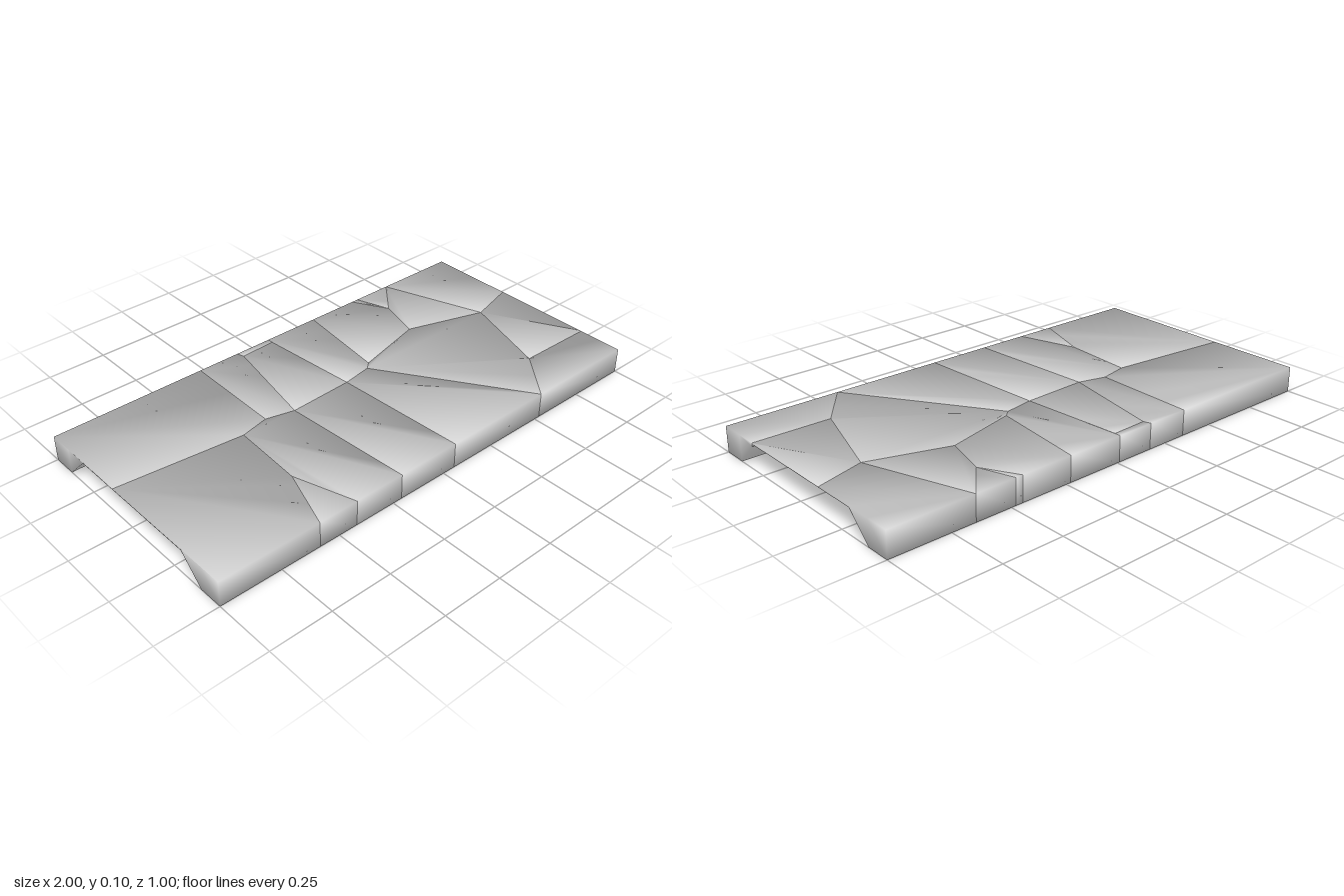
import * as THREE from 'three';

const TOP = 0.105;
const KINKS = [-0.4, -0.3, 0.3, 0.4];          // z lines where the underside bends
const BANDS = [-0.5, ...KINKS, 0.5];

// underside height: deep lips along both long edges, thin plate between
const underside = z => THREE.MathUtils.clamp(0.4 - Math.abs(z), 0, 0.1);

// shared junctions of the cracks, as [x, z]
const A = [-1, -0.105], B = [-0.48, -0.05], C = [-0.36, -0.075], D = [-0.245, -0.045];
const E = [0.025, -0.055], F = [0.15, -0.075], G = [0.18, -0.1], H = [0.48, -0.175];
const I = [0.8, -0.07], J = [1, -0.125], K = [0.53, -0.355], L = [-0.5, 0.25], M = [0.68, 0.305];
const N = [1, 0.31], P = [-0.16, -0.47], Q = [-0.01, -0.475];
const back = x => [x, -0.5], front = x => [x, 0.5];

// outlines of the broken pieces, clockwise seen from above
const BACK_PIECES = [
  [back(-1), back(-0.35), C, B, A],
  [back(-0.35), back(-0.17), P, D, C],
  [back(-0.17), back(-0.01), Q, P],
  [P, Q, E, D],
  [back(-0.01), back(0.23), G, F, E, Q],
  [back(0.23), back(0.45), K, H, G],
  [back(0.45), back(0.48), K],
  [back(0.48), back(0.65), K],
  [back(0.65), I, H, K],
  [back(0.65), back(1), J, I],
];
const FRONT_PIECES = [
  [A, B, L, front(-0.585), front(-1)],
  [L, front(-0.42), front(-0.585)],
  [B, C, D, front(-0.21), front(-0.42), L],
  [D, E, front(0.055), front(-0.21)],
  [E, F, front(0.525), front(0.055)],
  [F, G, H, I, M, front(0.525)],
  [I, J, N, M],
  [M, N, front(1), front(0.525)],
];

// add a point wherever an outline crosses a bend of the underside
function splitOutline(outline) {
  const out = [];
  outline.forEach((a, i) => {
    const b = outline[(i + 1) % outline.length];
    out.push(a);
    KINKS.map(z => [(z - a[1]) / (b[1] - a[1]), z])
      .filter(([t]) => t > 0.001 && t < 0.999)
      .sort((p, q) => p[0] - q[0])
      .forEach(([t, z]) => out.push([a[0] + (b[0] - a[0]) * t, z]));
  });
  return out;
}

// closed solid for one piece, with normals softened over its edges
function pieceGeometry(outline) {
  const pts = splitOutline(outline), n = pts.length;
  const position = [], normal = [], index = [];
  const wall = i => {
    const a = pts[(i + n) % n], b = pts[(i + 1) % n];
    return new THREE.Vector3(b[1] - a[1], 0, a[0] - b[0]).normalize();
  };
  for (const top of [true, false]) {
    pts.forEach(([x, z], i) => {
      position.push(x, top ? TOP : underside(z), z);
      const onSlope = Math.abs(z) > 0.299 && Math.abs(z) < 0.401;
      const face = new THREE.Vector3(0, top ? 1 : -1, !top && onSlope ? -0.4 * Math.sign(z) : 0);
      normal.push(...face.add(wall(i - 1)).add(wall(i)).normalize().toArray());
    });
  }
  for (let i = 0; i < n; i++) {
    const j = (i + 1) % n;
    if (i > 0 && i < n - 1) index.push(0, j, i);            // top
    index.push(i, j, n + i, j, n + j, n + i);               // walls
  }
  for (let b = 0; b < BANDS.length - 1; b++) {              // underside, band by band
    const ring = [...pts.keys()].filter(i =>
      pts[i][1] > BANDS[b] - 1e-6 && pts[i][1] < BANDS[b + 1] + 1e-6);
    for (let k = 1; k < ring.length - 1; k++) index.push(n + ring[0], n + ring[k], n + ring[k + 1]);
  }
  const g = new THREE.BufferGeometry();
  g.setAttribute('position', new THREE.Float32BufferAttribute(position, 3));
  g.setAttribute('normal', new THREE.Float32BufferAttribute(normal, 3));
  g.setIndex(index);
  return g;
}

export function createModel() {
  const model = new THREE.Group();
  model.name = 'crackedSlab';
  const material = new THREE.MeshStandardMaterial({ color: 0xcccccc });
  for (const [side, pieces] of [['back', BACK_PIECES], ['front', FRONT_PIECES]]) {
    const row = new THREE.Group();
    row.name = side + 'Pieces';
    pieces.forEach((outline, i) => {
      const mesh = new THREE.Mesh(pieceGeometry(outline), material);
      mesh.name = `${side}Piece${i + 1}`;
      row.add(mesh);
    });
    model.add(row);
  }
  return model;
}
